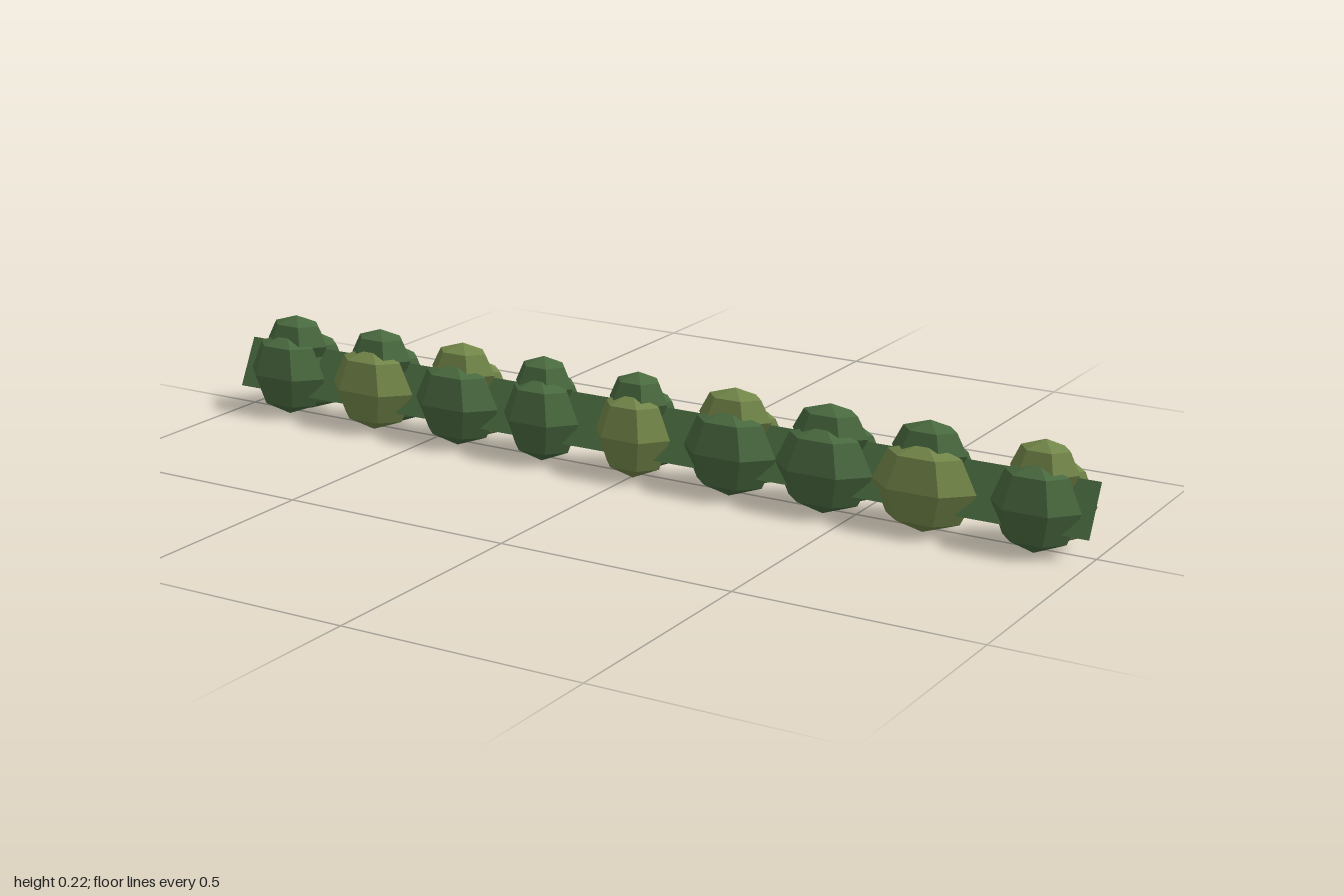
import * as THREE from 'three';

const leaf = new THREE.MeshStandardMaterial({ color: 0x4a6b40, flatShading: true });
leaf.name = 'leafGreen';
const olive = new THREE.MeshStandardMaterial({ color: 0x74884a, flatShading: true });
olive.name = 'oliveGreen';
const band = new THREE.MeshStandardMaterial({ color: 0x4a6b40, side: THREE.DoubleSide });
band.name = 'stemGreen';
const red = new THREE.MeshStandardMaterial({ color: 0x7a2a22, flatShading: true });
red.name = 'berryRed';

// Six-sided, four-band faceted clump, stretched to size
const clump = new THREE.SphereGeometry(1, 6, 4).toNonIndexed();
clump.computeVertexNormals();

function addClump(parent, name, material, position, radii) {
  const mesh = new THREE.Mesh(clump, material);
  mesh.name = name;
  mesh.position.set(...position);
  mesh.scale.set(...radii);
  parent.add(mesh);
}

// Per cluster: front centre x, front half-width, back centre x, back half-width
const clusters = [
  [-0.88, 0.1, -0.866, 0.112],
  [-0.65, 0.105, -0.64, 0.1],
  [-0.43, 0.105, -0.43, 0.107],
  [-0.217, 0.092, -0.235, 0.093],
  [0.005, 0.088, 0, 0.093],
  [0.23, 0.105, 0.225, 0.112],
  [0.44, 0.107, 0.44, 0.112],
  [0.655, 0.11, 0.65, 0.1],
  [0.885, 0.092, 0.893, 0.093],
];

export function createModel() {
  const group = new THREE.Group();
  group.name = 'leafGarland';

  // Flat stem band, leaning back at the top
  const height = 0.1, depth = 0.05;
  const stem = new THREE.Mesh(new THREE.PlaneGeometry(2, Math.hypot(height, depth)), band);
  stem.name = 'stemBand';
  stem.rotation.x = -Math.atan2(depth, height);
  stem.position.set(0, 0.1, 0.018);
  group.add(stem);

  // Leaf clusters along the stem, every third clump in the lighter green
  clusters.forEach(([fx, fw, bx, bw], i) => {
    const cluster = new THREE.Group();
    cluster.name = 'leafCluster';
    const frontColor = i % 3 === 1 ? olive : leaf;
    const backColor = i % 3 === 2 ? olive : leaf;
    addClump(cluster, 'frontClump', frontColor, [fx, 0.092, 0.027], [fw, 0.092, 0.06]);
    addClump(cluster, 'backClump', backColor, [bx, 0.092, -0.028], [bw, 0.092, 0.06]);
    addClump(cluster, 'topClump', backColor, [(fx + bx) / 2, 0.157, 0], [(fw + bw) * 0.38, 0.061, 0.052]);
    addClump(cluster, 'berry', red, [(fx + bx) / 2, 0.038, 0], [0.02, 0.02, 0.02]);
    group.add(cluster);
  });
  return group;
}
